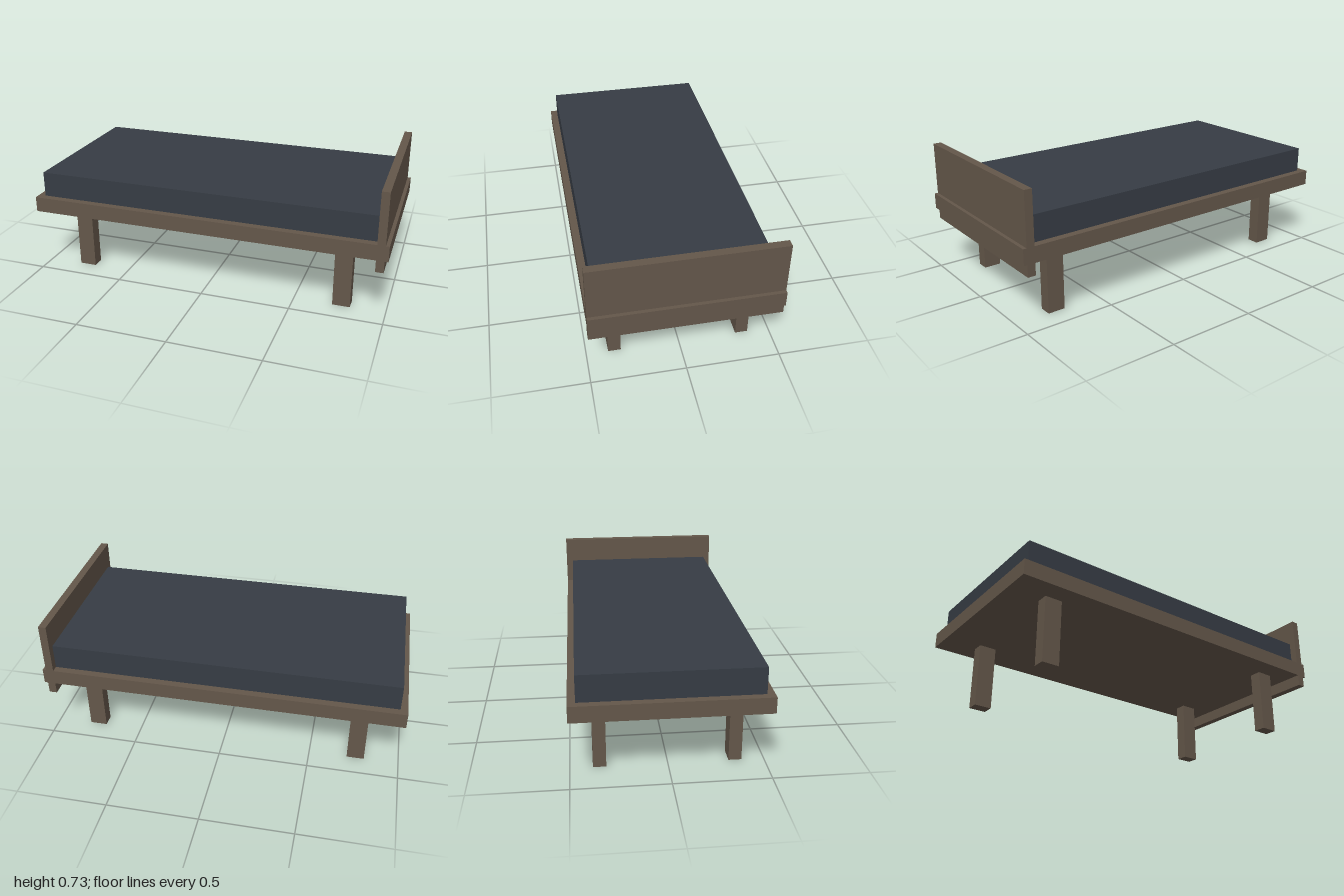
import * as THREE from 'three';

export function createModel() {
  const wood = new THREE.MeshStandardMaterial({ color: 0x64574a });
  wood.name = 'brown wood';
  const fabric = new THREE.MeshStandardMaterial({ color: 0x363c44 });
  fabric.name = 'dark slate fabric';

  const bed = new THREE.Group();
  bed.name = 'bed';

  // Box given by its lower and upper corners
  function box(name, material, [x0, y0, z0], [x1, y1, z1]) {
    const mesh = new THREE.Mesh(new THREE.BoxGeometry(x1 - x0, y1 - y0, z1 - z0), material);
    mesh.position.set((x0 + x1) / 2, (y0 + y1) / 2, (z0 + z1) / 2);
    mesh.name = name;
    bed.add(mesh);
  }

  // Platform, mattress and the headboard slotted through the platform
  box('platform', wood, [-1, 0.36, -0.497], [1, 0.446, 0.497]);
  box('mattress', fabric, [-0.96, 0.446, -0.457], [0.938, 0.587, 0.457]);
  box('headboard', wood, [0.938, 0.295, -0.497], [0.981, 0.733, 0.497]);

  // Four rectangular legs, mirrored in x and z
  for (const sx of [-1, 1]) {
    for (const sz of [-1, 1]) {
      const x = sx * 0.761, z = sz * 0.349;
      const name = (sz > 0 ? 'front' : 'back') + (sx > 0 ? 'Left' : 'Right') + 'Leg';
      box(name, wood, [x - 0.048, 0, z - 0.034], [x + 0.048, 0.36, z + 0.034]);
    }
  }
  return bed;
}
